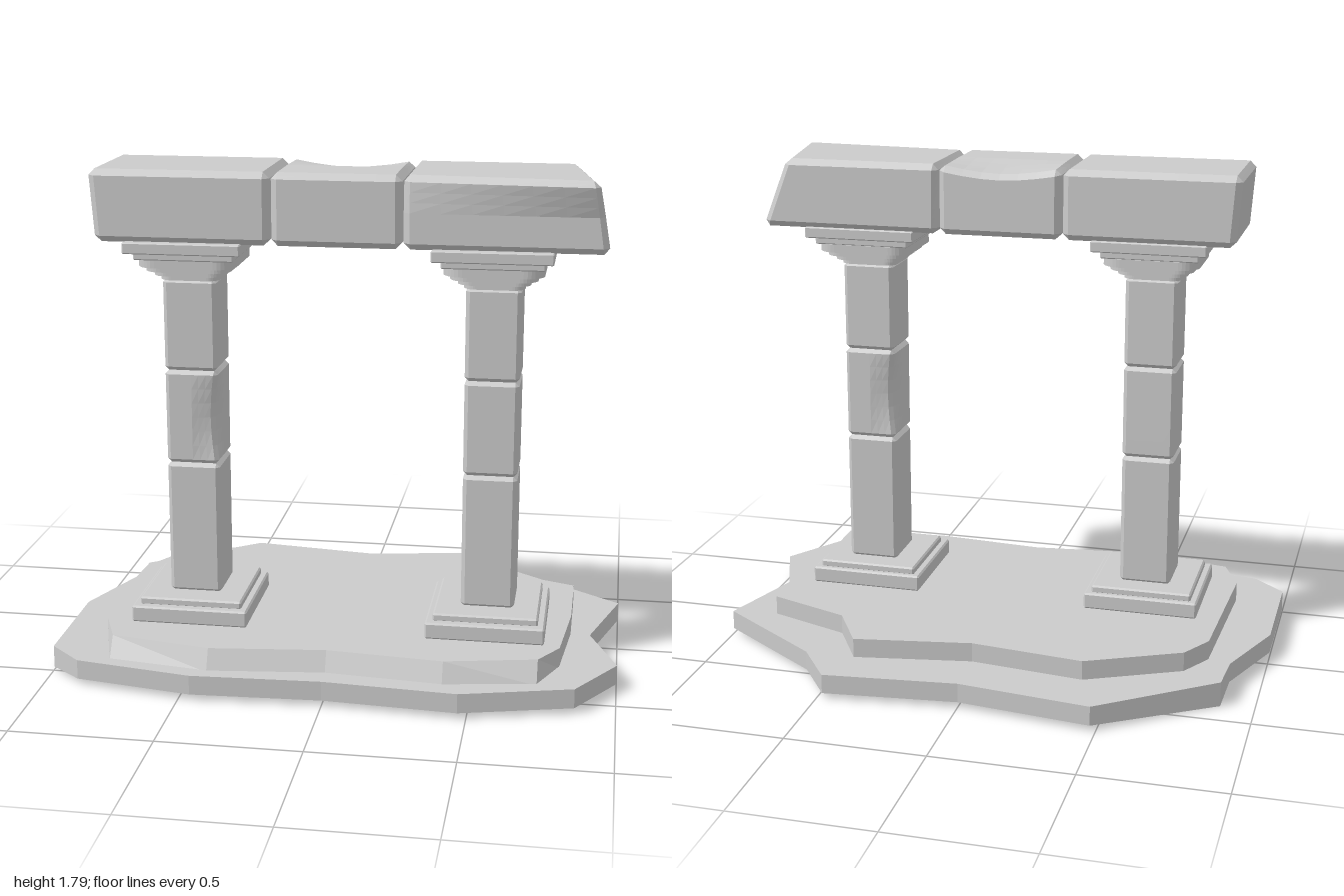
import * as THREE from 'three';

const stone = new THREE.MeshStandardMaterial({ color: 0xcccccc, flatShading: true });

function add(parent, name, geometry, x = 0, y = 0, z = 0) {
  const mesh = new THREE.Mesh(geometry, stone);
  mesh.name = name;
  mesh.position.set(x, y, z);
  parent.add(mesh);
  return mesh;
}

// Moves every vertex by a rule
function warp(geometry, rule) {
  const pos = geometry.attributes.position;
  const p = new THREE.Vector3();
  for (let i = 0; i < pos.count; i++) {
    rule(p.fromBufferAttribute(pos, i));
    pos.setXYZ(i, p.x, p.y, p.z);
  }
  geometry.computeVertexNormals();
  return geometry;
}

// Subdivided block with chamfered edges, centred on the origin
function block(w, h, d, c, n = 8) {
  const half = [w / 2, h / 2, d / 2];
  return warp(new THREE.BoxGeometry(2, 2, 2, n, n, n), (p) => {
    const q = p.toArray();
    const extremes = q.filter((v) => Math.abs(v) > 0.999).length;
    const pull = [0, 0, c / 2, (2 * c) / 3][extremes];
    const out = q.map((v, k) => {
      if (Math.abs(v) > 0.999) return Math.sign(v) * (half[k] - pull);
      return (v / (1 - 2 / n)) * (half[k] - c);
    });
    p.fromArray(out);
  });
}

// Irregular flat slab from an [x, z] outline
function slab(outline, y0, y1, rule) {
  const shape = new THREE.Shape(outline.map(([x, z]) => new THREE.Vector2(x, -z)));
  const g = new THREE.ExtrudeGeometry(shape, { depth: y1 - y0, bevelEnabled: false });
  g.rotateX(-Math.PI / 2).translate(0, y0, 0);
  return warp(g, rule);
}

// Square capital ring with rounded corners
function ring(half, height, r) {
  const s = new THREE.Shape();
  const a = half - r;
  s.absarc(a, a, r, 0, Math.PI / 2);
  s.absarc(-a, a, r, Math.PI / 2, Math.PI);
  s.absarc(-a, -a, r, Math.PI, Math.PI * 1.5);
  s.absarc(a, -a, r, Math.PI * 1.5, Math.PI * 2);
  s.closePath();
  const g = new THREE.ExtrudeGeometry(s, { depth: height, bevelEnabled: false, curveSegments: 4 });
  return g.rotateX(-Math.PI / 2);
}

function column(name, x, side) {
  const group = new THREE.Group();
  group.name = name;
  group.position.set(x, 0, 0.17);

  // Stepped plinth
  add(group, 'plinth', block(0.42, 0.06, 0.42, 0.006, 3), 0, 0.19, 0.01);
  add(group, 'plinthStep', block(0.37, 0.03, 0.37, 0.006, 3), 0, 0.23, 0.005);

  // Three shaft stones, the middle one worn along one edge
  [[0.24, 0.73], [0.73, 1.07], [1.07, 1.4]].forEach(([y0, y1], i) => {
    const h = y1 - y0;
    const g = block(0.19, h, 0.2, 0.014);
    if (i === 1) {
      warp(g, (p) => {
        const edge = Math.max(0, (-side * p.x) / 0.095) * Math.max(0, (-side * p.z) / 0.1);
        const wear = 0.02 * edge * Math.cos((p.y / h) * Math.PI);
        p.x += side * wear;
        p.z += side * wear;
      });
    }
    add(group, 'shaftStone', g, 0, (y0 + y1) / 2, 0);
  });

  // Flaring capital rings under two square slabs
  [[0.105, 1.395, 0.02], [0.125, 1.412, 0.018], [0.15, 1.43, 0.018], [0.172, 1.448, 0.03]]
    .forEach(([half, y, h]) => add(group, 'capitalRing', ring(half, h, half * 0.4), 0, y, 0));
  add(group, 'capitalNeck', ring(0.14, 0.01, 0.05), 0, 1.475, 0.005);
  add(group, 'capitalStep', block(0.35, 0.03, 0.35, 0.004, 3), 0, 1.492, 0.005);
  add(group, 'capitalSlab', block(0.41, 0.04, 0.41, 0.004, 3), 0, 1.523, 0.008);
  return group;
}

export function createModel() {
  const model = new THREE.Group();
  model.name = 'ruinedColumns';

  // Broken ground slab, dipping at two corners
  const lower = [
    [-0.48, -0.69], [0, -0.63], [0.48, -0.68], [0.6, -0.51], [1, -0.23], [0.9, 0.1],
    [1, 0.36], [0.86, 0.58], [0.47, 0.68], [0, 0.65], [-0.46, 0.67], [-0.88, 0.6],
    [-1, 0.49], [-1, 0.06], [-0.89, -0.23], [-0.88, -0.39],
  ];
  add(model, 'lowerStep', slab(lower, 0.02, 0.09, (p) => {
    if (p.y > 0.05) return;
    if (Math.hypot(p.x + 0.88, p.z + 0.39) < 0.05) p.y = 0;
    if (Math.hypot(p.x + 1, p.z - 0.49) < 0.05) p.y = 0.01;
  }));

  // Upper step, its front face sloping outward at the foot
  const upper = [
    [-0.41, -0.49], [0, -0.44], [0.42, -0.51], [0.53, -0.32], [0.83, -0.21], [0.83, 0.1],
    [0.8, 0.4], [0.73, 0.51], [0.41, 0.575], [0, 0.54], [-0.41, 0.585], [-0.77, 0.52],
    [-0.835, 0.36], [-0.81, -0.21], [-0.74, -0.33],
  ];
  add(model, 'upperStep', slab(upper, 0.085, 0.16, (p) => {
    if (p.y < 0.1 && p.z > 0.5) p.z += Math.abs(p.x) > 0.6 ? 0.05 : 0.035;
  }));

  model.add(column('rightColumn', -0.525, -1));
  model.add(column('leftColumn', 0.535, 1));

  // Lintel of three stones
  const lintel = new THREE.Group();
  lintel.name = 'lintel';
  lintel.position.set(0, 1.665, 0.168);
  model.add(lintel);
  const H = 0.25;
  const D = 0.405;

  // Right stone, its outer end leaning slightly
  add(lintel, 'lintelRight', warp(block(0.61, H, D, 0.022), (p) => {
    if (p.x < 0) p.x += (p.x / 0.305) * (p.y / H + 0.5) * 0.018;
  }), -0.525, 0, 0);

  // Middle stone, worn along its top back edge
  add(lintel, 'lintelMiddle', warp(block(0.445, H, D, 0.022), (p) => {
    const back = Math.max(0, -p.z / (D / 2));
    const top = Math.max(0, p.y / (H / 2));
    p.y -= 0.03 * back * top * Math.cos((p.x / 0.445) * Math.PI);
  }), 0.008, 0, 0);

  // Left stone, broken off at a slant and overhanging at the top front
  add(lintel, 'lintelLeft', warp(block(0.67, H, D, 0.022), (p) => {
    const u = p.x / 0.67 + 0.5;
    const v = p.y / H + 0.5;
    const w = p.z / D + 0.5;
    const end = THREE.MathUtils.lerp(0.9 + 0.025 * w, 0.8 + 0.085 * w, v);
    p.x = 0.235 + u * (end - 0.235);
    p.z += (0.06 * u - 0.012) * Math.max(0, 2 * v - 1) * w;
  }));

  return model;
}
